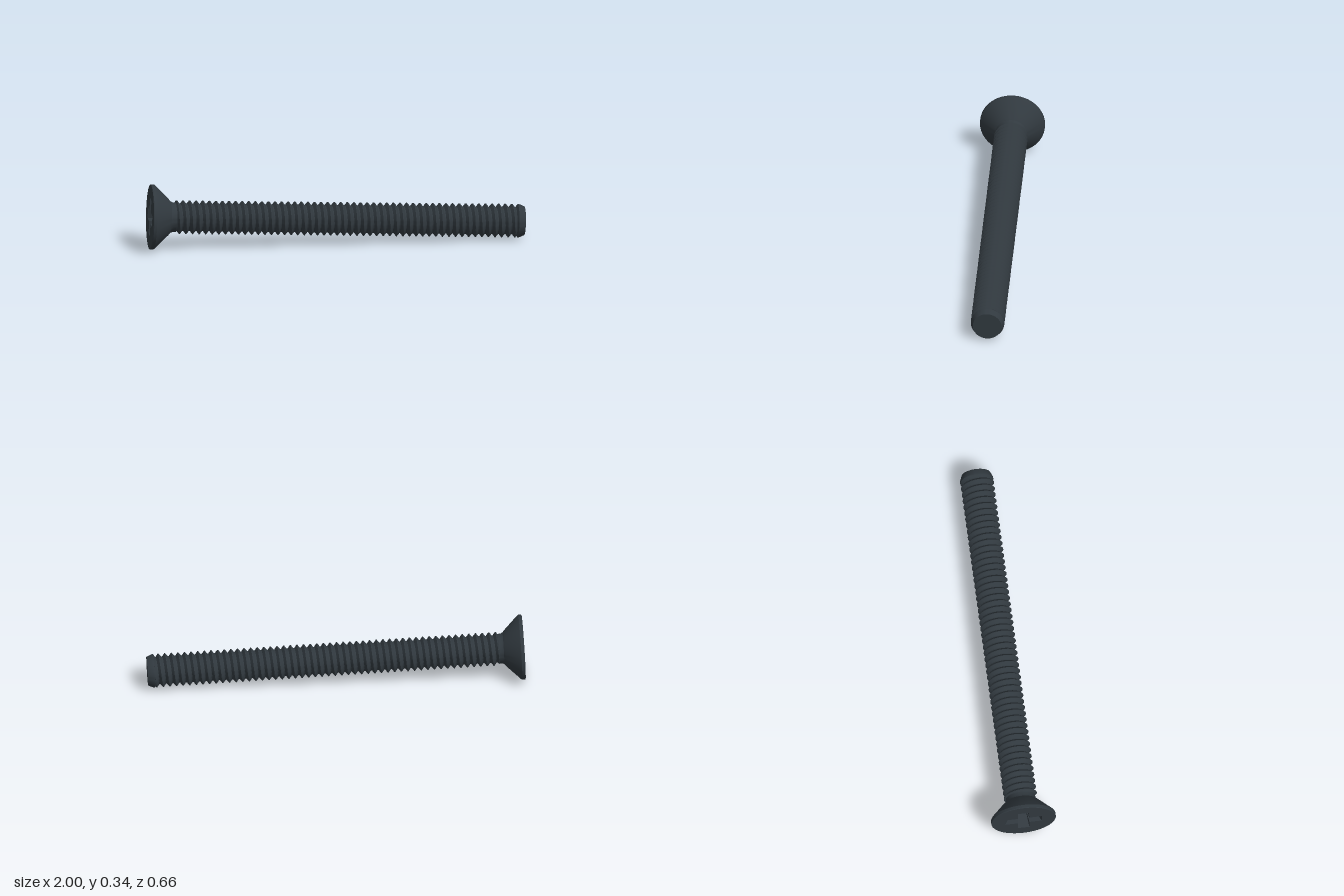
import * as THREE from 'three';
import { toCreasedNormals } from 'three/addons/utils/BufferGeometryUtils.js';

const HEAD = new THREE.Vector3(-0.963, 0.172, -0.165); // centre of the head face
const TIP = new THREE.Vector3(0.984, 0.09, 0.248);     // centre of the tip face
const LENGTH = HEAD.distanceTo(TIP);
const SEGMENTS = 64;
const ROOT = 0.072, CREST = 0.089, PITCH = 0.035;

// Turned part from [radius, distance along the screw] pairs
function turned(points) {
  const profile = points.map(([r, y]) => new THREE.Vector2(r, y));
  return toCreasedNormals(new THREE.LatheGeometry(profile, SEGMENTS), 0.45);
}

// Helical ridge swept between two distances along the screw
function threadGeometry(start, end) {
  const section = [[0, ROOT], [0.14, ROOT], [0.52, CREST], [0.62, CREST]];
  const turns = Math.ceil((end - start) / PITCH) + 1;
  const rows = [];
  for (let t = -1; t < turns; t++) {
    for (const [u, r] of section) rows.push([start + (t + u) * PITCH, r]);
  }
  const positions = [], index = [];
  for (let i = 0; i <= SEGMENTS; i++) {
    const angle = (i / SEGMENTS) * Math.PI * 2;
    for (const [offset, radius] of rows) {
      const raw = offset + (PITCH * i) / SEGMENTS;
      const y = THREE.MathUtils.clamp(raw, start, end);
      const r = raw === y ? radius : ROOT; // run out flush at both ends
      positions.push(Math.sin(angle) * r, y, Math.cos(angle) * r);
    }
  }
  const n = rows.length;
  for (let i = 0; i < SEGMENTS; i++) {
    for (let j = 0; j < n - 1; j++) {
      const a = i * n + j, b = a + n;
      index.push(a, b, a + 1, b, b + 1, a + 1);
    }
  }
  const geometry = new THREE.BufferGeometry();
  geometry.setAttribute('position', new THREE.Float32BufferAttribute(positions, 3));
  geometry.setIndex(index);
  return toCreasedNormals(geometry, 0.45);
}

// Counter-clockwise cross outline: arm length l, half arm width w
function crossOutline(l, w) {
  const points = [];
  for (let k = 0; k < 4; k++) {
    for (const [x, y] of [[l, -w], [l, w], [w, w]]) {
      points.push(new THREE.Vector2(x, y).rotateAround(new THREE.Vector2(), (k * Math.PI) / 2));
    }
  }
  return points;
}

// Tapered walls joining the mouth of the recess to its floor
function recessWalls(mouth, floor, depth) {
  const positions = [];
  mouth.forEach((m0, i) => {
    const j = (i + 1) % mouth.length;
    const m1 = mouth[j], f0 = floor[i], f1 = floor[j];
    positions.push(
      m0.x, m0.y, 0, m1.x, m1.y, 0, f1.x, f1.y, -depth,
      m0.x, m0.y, 0, f1.x, f1.y, -depth, f0.x, f0.y, -depth);
  });
  const geometry = new THREE.BufferGeometry();
  geometry.setAttribute('position', new THREE.Float32BufferAttribute(positions, 3));
  geometry.computeVertexNormals();
  return geometry;
}

export function createModel() {
  const steel = new THREE.MeshStandardMaterial({ color: 0x31393f });
  steel.name = 'blackened steel';

  const screw = new THREE.Group();
  screw.name = 'countersunkScrew';
  const add = (name, geometry) => {
    const mesh = new THREE.Mesh(geometry, steel);
    mesh.name = name;
    screw.add(mesh);
    return mesh;
  };

  // Countersunk head with a thin rim, blending into the shank
  add('head', turned([
    [0.170, 0], [0.172, 0.003], [0.172, 0.018], [0.168, 0.024],
    [0.095, 0.098], [0.084, 0.107], [0.079, 0.118], [0.078, 0.136], [ROOT, 0.142],
  ]));

  // Flat face with the cross-shaped opening
  const mouth = crossOutline(0.097, 0.03);
  const floor = crossOutline(0.05, 0.02);
  const depth = 0.08;
  const face = new THREE.Shape().absarc(0, 0, 0.17, 0, Math.PI * 2);
  face.holes.push(new THREE.Path([...mouth, mouth[0]].reverse()));
  add('headFace', new THREE.ShapeGeometry(face, SEGMENTS / 2).rotateX(Math.PI / 2));

  // Driver recess
  add('recessWalls', recessWalls(mouth, floor, depth).rotateX(Math.PI / 2));
  add('recessFloor', new THREE.ShapeGeometry(new THREE.Shape(floor))
    .translate(0, 0, -depth).rotateX(Math.PI / 2));

  // Threaded shaft
  add('thread', threadGeometry(0.13, LENGTH - 0.034));

  // Chamfered tip
  add('tip', turned([
    [ROOT, LENGTH - 0.046], [0.088, LENGTH - 0.036], [0.088, LENGTH - 0.028],
    [0.076, LENGTH], [0, LENGTH],
  ]));

  // Lay the screw down, head to tip
  const along = TIP.clone().sub(HEAD).normalize();
  const side = along.clone().cross(new THREE.Vector3(0, 1, 0)).normalize();
  const across = along.clone().cross(side);
  screw.quaternion.setFromRotationMatrix(new THREE.Matrix4().makeBasis(across, along, side));
  screw.position.copy(HEAD);

  const model = new THREE.Group();
  model.name = 'model';
  model.add(screw);
  return model;
}
